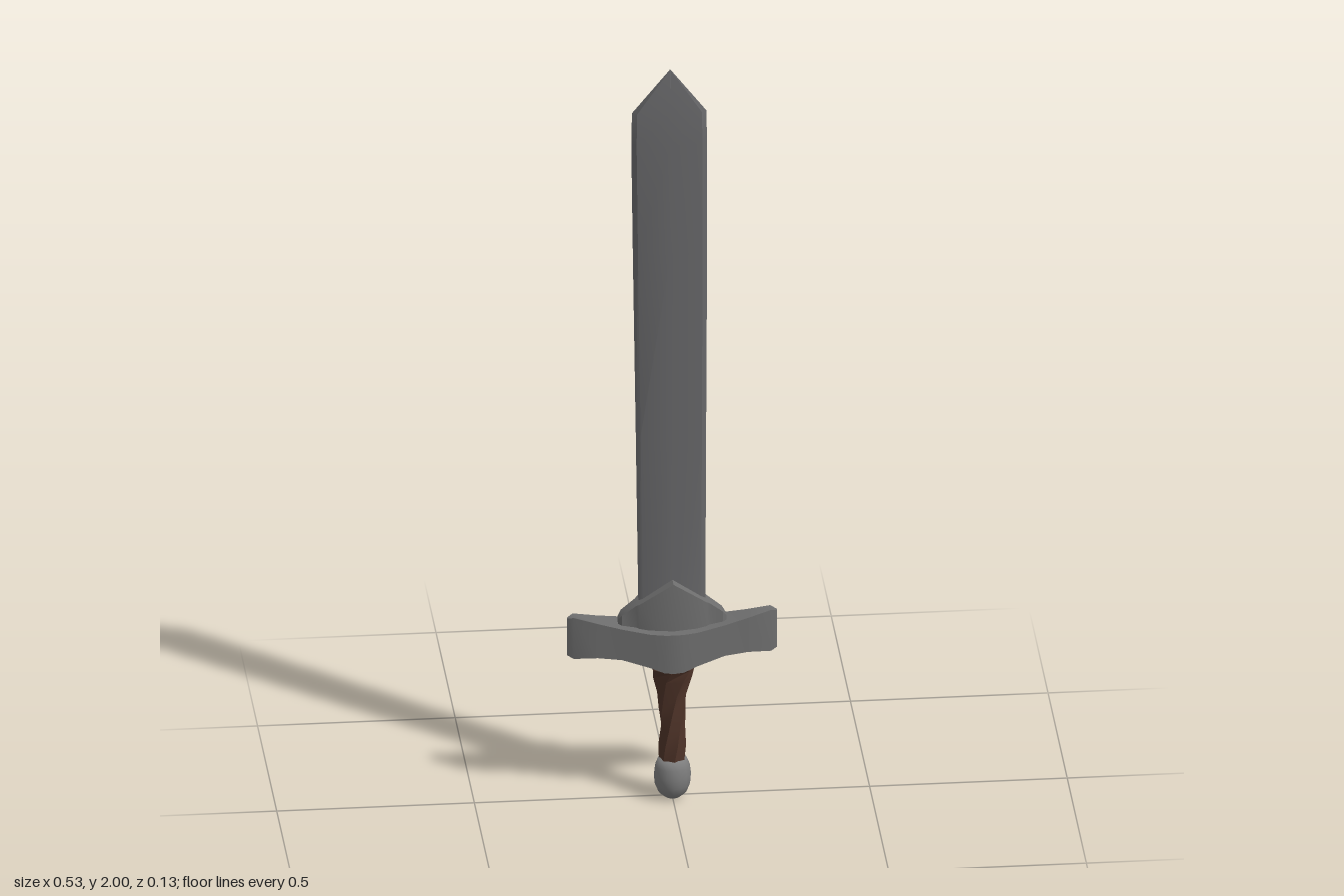
import * as THREE from 'three';
import { toCreasedNormals } from 'three/addons/utils/BufferGeometryUtils.js';

// Skin a closed tube over rings of [x, y, z] points, with both ends capped.
// Rings turn counter-clockwise about the direction of travel.
function loft(rings, crease) {
  const n = rings[0].length, last = (rings.length - 1) * n, index = [];
  for (let i = 0; i < rings.length - 1; i++) {
    for (let j = 0; j < n; j++) {
      const a = i * n + j, b = i * n + (j + 1) % n;
      index.push(a, b, b + n, a, b + n, a + n);
    }
  }
  for (let j = 1; j < n - 1; j++) {
    index.push(0, j + 1, j);
    index.push(last, last + j, last + j + 1);
  }
  const geo = new THREE.BufferGeometry();
  geo.setAttribute('position', new THREE.Float32BufferAttribute(rings.flat(2), 3));
  geo.setIndex(index);
  return toCreasedNormals(geo, crease);
}

// Symmetric bar along x; stations run outwards: [x, bottom, top, half depth].
function crossBar(stations, z) {
  const left = stations.slice().reverse().map(([x, ...rest]) => [-x, ...rest]);
  const all = [...left, ...stations.filter(s => s[0] > 0)];
  return loft(all.map(([x, lo, hi, d]) => [
    [x, hi, z - d], [x, hi, z + d], [x, lo, z + d], [x, lo, z - d],
  ]), 0.6);
}

export function createModel() {
  const sword = new THREE.Group();
  sword.name = 'sword';

  const mat = (name, color) => {
    const m = new THREE.MeshStandardMaterial({ color });
    m.name = name;
    return m;
  };
  const bladeSteel = mat('blade steel', 0x666668);
  const guardSteel = mat('guard steel', 0x6e6e6e);
  const pommelSteel = mat('pommel steel', 0x7c7c7c);
  const leather = mat('brown leather', 0x4e3328);

  const add = (name, geo, material) => {
    const mesh = new THREE.Mesh(geo, material);
    mesh.name = name;
    sword.add(mesh);
    return mesh;
  };

  // Blade: bevelled lens section leaning slightly back, [y, half width, half depth, x offset]
  const blade = [
    [0.45, 0.084, 0.015, 0], [1.0, 0.089, 0.016, -0.001], [1.5, 0.094, 0.019, -0.002],
    [1.8, 0.096, 0.022, -0.003], [1.885, 0.094, 0.019, -0.003], [2.0, 0.001, 0.002, 0],
  ];
  add('blade', loft(blade.map(([y, w, t, x]) => {
    const z = -0.047 * (y - 0.5) / 1.5;
    return [[0, 1], [0.87, 0.5], [1, 0], [0.87, -0.5], [0, -1], [-0.87, -0.5], [-1, 0], [-0.87, 0.5]]
      .map(([a, b]) => [x + a * w, y, z + b * t]);
  }), 0.5), bladeSteel);

  // Crossguard with flared ends and a deep centre
  add('crossguard', crossBar([
    [0, 0.368, 0.475, 0.066], [0.025, 0.37, 0.475, 0.064], [0.06, 0.382, 0.475, 0.055],
    [0.13, 0.4, 0.485, 0.039], [0.19, 0.402, 0.497, 0.026], [0.25, 0.397, 0.511, 0.014],
    [0.266, 0.403, 0.505, 0.003],
  ], 0.001), guardSteel);

  // Peaked collar around the foot of the blade, with low side wings
  add('collar', crossBar([
    [0, 0.43, 0.605, 0.044], [0.085, 0.43, 0.545, 0.028],
    [0.092, 0.43, 0.54, 0.022], [0.128, 0.43, 0.512, 0.018], [0.137, 0.43, 0.498, 0.01],
  ], -0.002), guardSteel);

  // Twisted leather grip, [y, radius, z]
  const grip = [
    [0.095, 0.034, 0.012], [0.15, 0.036, 0.012], [0.2, 0.032, 0.011], [0.245, 0.035, 0.008],
    [0.29, 0.038, 0.004], [0.335, 0.051, 0.002], [0.365, 0.061, 0.001], [0.385, 0.05, 0],
  ];
  add('grip', loft(grip.map(([y, r, z], i) =>
    Array.from({ length: 7 }, (_, j) => {
      const a = j / 7 * Math.PI * 2 + i * 0.28;
      return [Math.sin(a) * r, y, z + Math.cos(a) * r];
    })), 0.45), leather);

  // Egg-shaped pommel
  const profile = [
    [0, 0], [0.02, 0.004], [0.036, 0.018], [0.045, 0.04], [0.047, 0.065],
    [0.044, 0.09], [0.036, 0.11], [0, 0.115],
  ].map(([r, y]) => new THREE.Vector2(r, y));
  add('pommel', new THREE.LatheGeometry(profile, 16), pommelSteel).position.z = 0.012;

  return sword;
}
